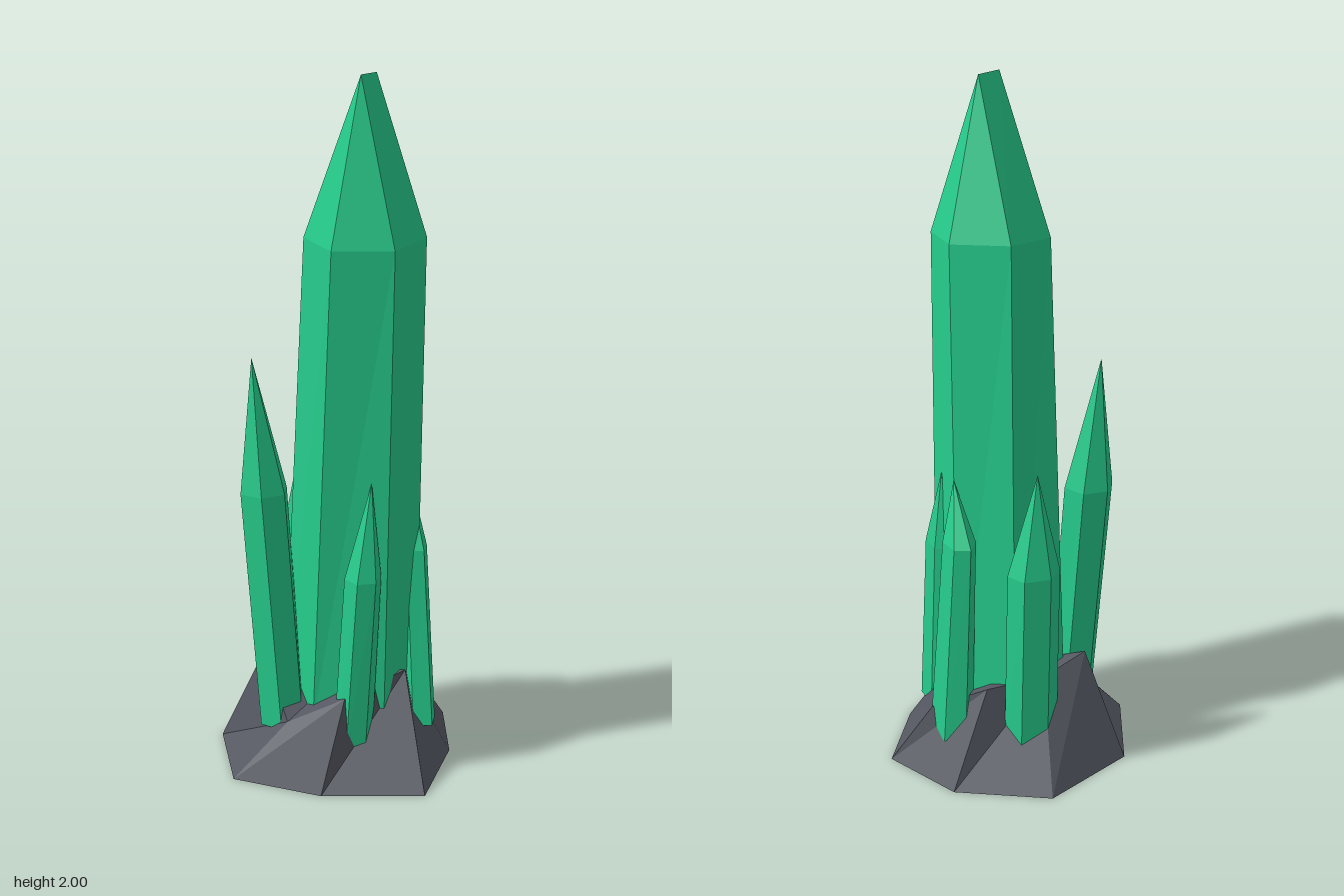
import * as THREE from 'three';

const crystalMat = new THREE.MeshStandardMaterial({ color: 0x26cc8c, flatShading: true });
const rockMat = new THREE.MeshStandardMaterial({ color: 0x555862, flatShading: true });

// Skin a stack of rings (bottom to top, equal counts, [x, y, z] corners) and close both ends.
function loft(name, rings, material) {
  const pos = [];
  const same = (p, q) => p.every((v, i) => v === q[i]);
  const tri = (a, b, c) => {
    if (!same(a, b) && !same(b, c) && !same(a, c)) pos.push(...a, ...b, ...c);
  };
  const n = rings[0].length;
  const centre = (ring) => [0, 1, 2].map((k) => ring.reduce((s, p) => s + p[k], 0) / n);
  const low = centre(rings[0]);
  for (let i = 0; i < n; i++) {
    const j = (i + 1) % n;
    tri(low, rings[0][i], rings[0][j]);
    for (let r = 0; r + 1 < rings.length; r++) {
      const [a, b, c, d] = [rings[r][i], rings[r][j], rings[r + 1][i], rings[r + 1][j]];
      tri(a, c, b);
      tri(b, c, d);
    }
  }
  const last = rings[rings.length - 1];
  if (!last.every((p) => same(p, last[0])) && material === rockMat) {
    const top = centre(last);
    for (let i = 0; i < n; i++) tri(top, last[(i + 1) % n], last[i]);
  }
  const geo = new THREE.BufferGeometry();
  geo.setAttribute('position', new THREE.Float32BufferAttribute(pos, 3));
  geo.computeVertexNormals();
  const mesh = new THREE.Mesh(geo, material);
  mesh.name = name;
  return mesh;
}

// Six-sided ring around a centre
function hexRing([x, y, z], rx, rz, turn) {
  return Array.from({ length: 6 }, (_, i) => {
    const a = turn + (i * Math.PI) / 3;
    return [x + rx * Math.cos(a), y, z + rz * Math.sin(a)];
  });
}

// Leaning shard: foot, shoulder, pointed tip
function shard({ name, foot, shoulder, tip, rFoot, rShoulder, turn }) {
  return loft(name, [
    hexRing(foot, ...rFoot, turn),
    hexRing(shoulder, ...rShoulder, turn),
    Array(6).fill(tip),
  ], crystalMat);
}

export function createModel() {
  const group = new THREE.Group();
  group.name = 'crystalCluster';

  // Rough rock base
  group.add(loft('rockBase', [
    [[0.02, 0, -0.38], [0.27, 0, -0.24], [0.38, 0, -0.01], [0.245, 0, 0.2],
      [0.02, 0, 0.38], [-0.225, 0, 0.215], [-0.38, 0, -0.01], [-0.265, 0, -0.27]],
    [[-0.04, 0.28, -0.18], [0.14, 0.28, -0.18], [0.27, 0.19, -0.07], [0.18, 0.2, 0.08],
      [0.1, 0.29, 0.17], [-0.12, 0.26, 0.18], [-0.225, 0.16, 0.04], [-0.19, 0.31, -0.14]],
  ], rockMat));

  // Tall central crystal, ending in a short ridge
  const ridgeLeft = [0.05, 2, 0.08], ridgeRight = [-0.025, 2, 0.115];
  group.add(loft('mainCrystal', [
    [[-0.13, 0.15, -0.13], [0.06, 0.15, -0.2], [0.195, 0.15, -0.09],
      [0.19, 0.15, 0.1], [0.01, 0.15, 0.19], [-0.15, 0.15, 0.06]],
    [[-0.12, 1.56, -0.02], [0.03, 1.575, -0.095], [0.17, 1.57, 0],
      [0.16, 1.56, 0.165], [0, 1.55, 0.24], [-0.14, 1.55, 0.145]],
    [ridgeRight, ridgeLeft, ridgeLeft, ridgeLeft, ridgeRight, ridgeRight],
  ], crystalMat));

  // Smaller shards around it
  [
    { name: 'rightShard', foot: [-0.185, 0.12, -0.05], shoulder: [-0.215, 0.83, -0.09], tip: [-0.24, 1.22, -0.105],
      rFoot: [0.07, 0.072], rShoulder: [0.073, 0.07], turn: 0.1 },
    { name: 'backShard', foot: [0.015, 0.11, -0.21], shoulder: [0.01, 0.65, -0.213], tip: [0, 0.95, -0.212],
      rFoot: [0.08, 0.06], rShoulder: [0.078, 0.06], turn: 0.15 },
    { name: 'leftBackShard', foot: [0.215, 0.11, -0.085], shoulder: [0.19, 0.73, -0.1], tip: [0.185, 0.9, -0.05],
      rFoot: [0.06, 0.08], rShoulder: [0.045, 0.065], turn: 0.3 },
    { name: 'leftFrontShard', foot: [0.175, 0.1, 0.125], shoulder: [0.17, 0.64, 0.09], tip: [0.182, 0.88, 0.055],
      rFoot: [0.05, 0.075], rShoulder: [0.045, 0.065], turn: 0.45 },
    { name: 'frontShard', foot: [-0.075, 0.1, 0.155], shoulder: [-0.062, 0.62, 0.185], tip: [-0.04, 0.9, 0.195],
      rFoot: [0.058, 0.055], rShoulder: [0.052, 0.055], turn: 0.4 },
  ].forEach((s) => group.add(shard(s)));

  return group;
}
